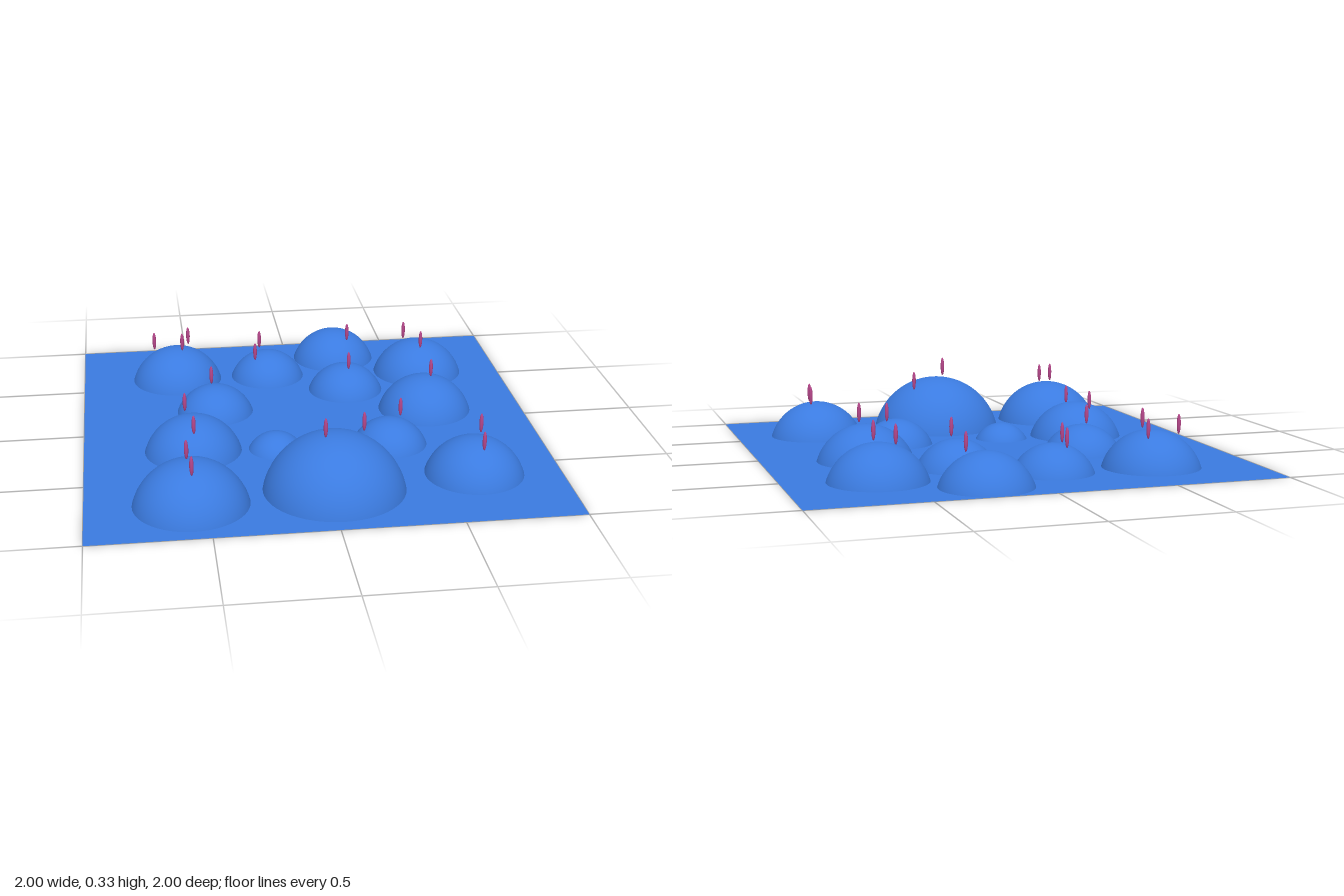
import * as THREE from 'three';

const SINK = 0.06; // how far each sphere's centre lies below the ground

// x, z, footprint radius, spindles [x, z], arcs (degrees) bounding an opening in the ground
const DOMES = [
  { x: -0.555, z: -0.62, r: 0.21, spindles: [[-0.66, -0.66], [-0.495, -0.72], [-0.53, -0.58]] },
  { x: -0.12, z: -0.61, r: 0.173, spindles: [[-0.15, -0.69], [-0.185, -0.54]] },
  { x: 0.23, z: -0.803, r: 0.195, spindles: [[0.285, -0.705]] },
  { x: 0.612, z: -0.573, r: 0.21, spindles: [[0.55, -0.62], [0.61, -0.49]] },
  { x: 0.23, z: -0.393, r: 0.173, spindles: [[0.237, -0.337]] },
  { x: -0.403, z: -0.212, r: 0.173, spindles: [[-0.416, -0.23]] },
  { x: 0.557, z: -0.12, r: 0.21, spindles: [[0.58, -0.102]] },
  { x: -0.528, z: 0.2, r: 0.21, spindles: [[-0.555, 0.088], [-0.53, 0.325]] },
  { x: -0.17, z: 0.223, r: 0.118, spindles: [], opening: [[-71, 45], [175, 175]] },
  { x: 0.33, z: 0.233, r: 0.163, spindles: [[0.384, 0.196]], opening: [[-104, 47], [182, 182]] },
  { x: 0.632, z: 0.57, r: 0.21, spindles: [[0.67, 0.505], [0.645, 0.668]], opening: [[111, 130], [253, 278]] },
  { x: -0.567, z: 0.702, r: 0.24, spindles: [[-0.58, 0.69], [-0.566, 0.805]], opening: [[-33, 42], [134, 134]] },
  { x: 0.027, z: 0.64, r: 0.297, spindles: [[0.167, 0.527], [-0.015, 0.67]], opening: [[-106, 28], [184, 184]] },
];

// Closed outline running along the given arcs of a dome's footprint, joined by chords
function openingPath({ x, z, r, opening }) {
  const points = [];
  for (const [from, to] of opening) {
    const steps = Math.ceil((to - from) / 6);
    for (let i = 0; i <= steps; i++) {
      const a = THREE.MathUtils.degToRad(from + (steps ? ((to - from) * i) / steps : 0));
      points.push(new THREE.Vector2(x + r * 0.99 * Math.cos(a), z + r * 0.99 * Math.sin(a)));
    }
  }
  return new THREE.Path(points);
}

export function createModel() {
  const model = new THREE.Group();
  const blue = new THREE.MeshStandardMaterial({ color: 0x3b7be0, side: THREE.DoubleSide });
  const pink = new THREE.MeshStandardMaterial({ color: 0xb8478c });

  function add(parent, name, geometry, material) {
    const mesh = new THREE.Mesh(geometry, material);
    mesh.name = name;
    parent.add(mesh);
    return mesh;
  }

  // Thin square ground with openings under the front domes
  const square = new THREE.Shape([[-1, -1], [1, -1], [1, 1], [-1, 1]].map(([x, y]) => new THREE.Vector2(x, y)));
  square.holes = DOMES.filter((d) => d.opening).map(openingPath);
  add(model, 'ground', new THREE.ShapeGeometry(square).rotateX(Math.PI / 2), blue);

  const spindleGeometry = new THREE.SphereGeometry(1, 8, 8).scale(0.009, 0.043, 0.009);

  for (const { x, z, r, spindles } of DOMES) {
    const hill = new THREE.Group();
    hill.name = 'hill';
    model.add(hill);

    // Spherical cap ending exactly at ground level
    const radius = Math.hypot(r, SINK);
    const cap = new THREE.SphereGeometry(radius, 48, 20, 0, Math.PI * 2, 0, Math.acos(SINK / radius));
    add(hill, 'dome', cap, blue).position.set(x, -SINK, z);

    // Upright spindles hovering just above the dome
    for (const [sx, sz] of spindles) {
      const d = Math.hypot(sx - x, sz - z);
      const y = Math.sqrt((radius + 0.05) ** 2 - d * d) - SINK;
      add(hill, 'spindle', spindleGeometry, pink).position.set(sx, y, sz);
    }
  }
  return model;
}
